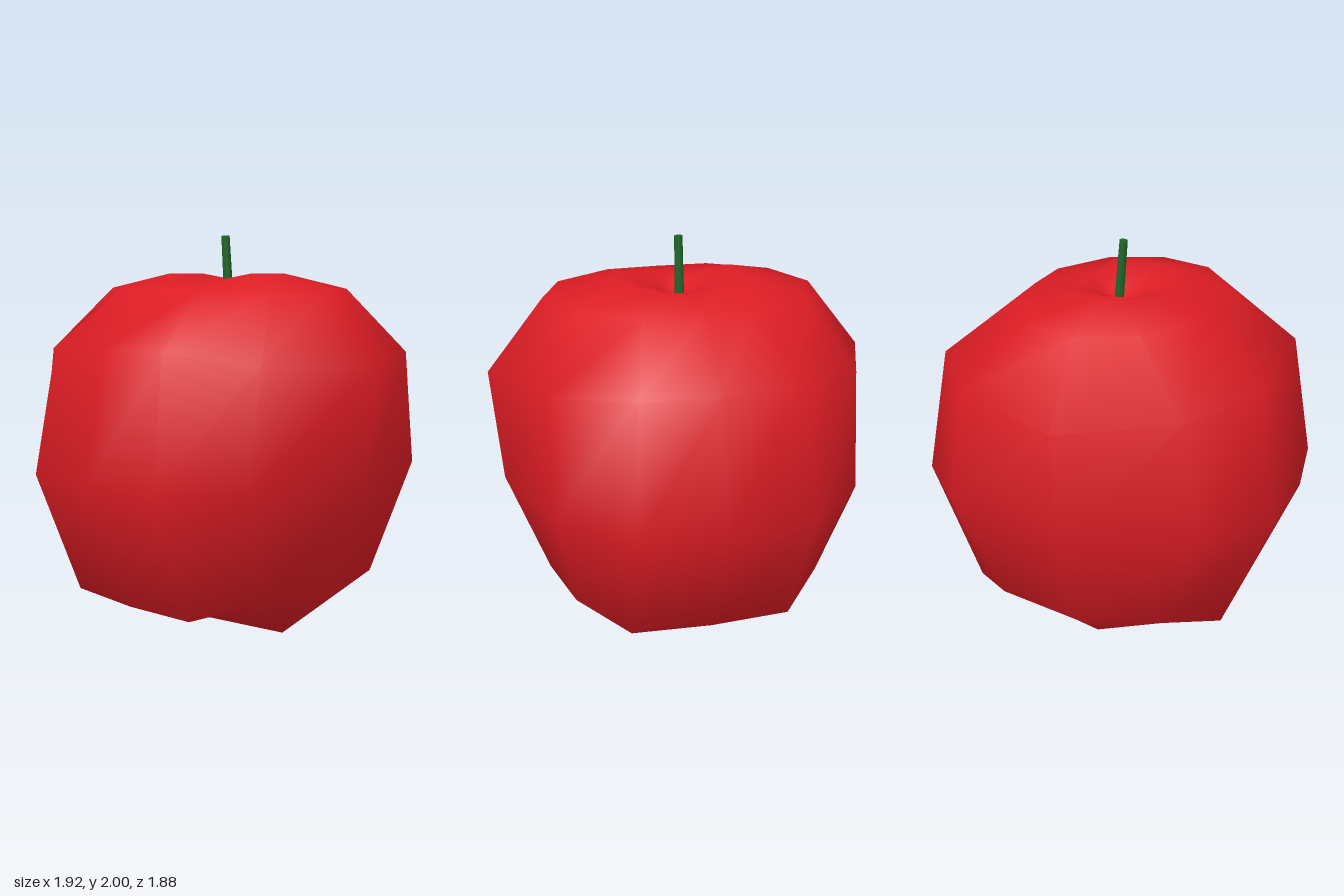
import * as THREE from 'three';

// One quarter of each ring (from +x round to +z), bottom to top
const RINGS = [
  [[0.40, 0, 0], [0.33, 0.08, 0.22], [0.18, 0.12, 0.35], [0, 0.13, 0.37]],
  [[0.70, 0.26, 0], [0.63, 0.29, 0.42], [0.40, 0.21, 0.66], [0, 0.20, 0.67]],
  [[0.91, 0.81, 0], [0.74, 0.85, 0.62], [0.43, 0.83, 0.90], [0, 0.83, 0.94]],
  [[0.96, 1.38, 0], [0.74, 1.42, 0.54], [0.38, 1.46, 0.80], [0, 1.46, 0.81]],
  [[0.68, 1.73, 0], [0.56, 1.735, 0.28], [0.27, 1.735, 0.46], [0, 1.735, 0.47]],
  [[0.31, 1.81, 0], [0.29, 1.81, 0.12], [0.13, 1.775, 0.21], [0, 1.765, 0.23]],
  [[0.10, 1.74, 0], [0.075, 1.74, 0.055], [0.05, 1.74, 0.11], [0, 1.74, 0.11]],
];
const SIDES = 12;

// Mirror a quarter ring into a closed ring of twelve points
function fullRing(quarter) {
  return Array.from({ length: SIDES }, (_, j) => {
    const k = j % 6;
    const [x, y, z] = quarter[k <= 3 ? k : 6 - k];
    return [j > 3 && j < 9 ? -x : x, y, j > 6 ? -z : z];
  });
}

// Skin the rings and close them with a pole at each end
function skin(rings, bottom, top) {
  const points = [...rings.map(fullRing).flat(), bottom, top];
  const low = rings.length * SIDES, high = low + 1, last = low - SIDES;
  const index = [];
  for (let j = 0; j < SIDES; j++) {
    const n = (j + 1) % SIDES;
    index.push(low, j, n);
    for (let r = 0; r < last; r += SIDES) {
      const a = r + j, b = r + n, c = a + SIDES, d = b + SIDES;
      index.push(a, c, b, b, c, d);
    }
    index.push(last + j, high, last + n);
  }
  const geometry = new THREE.BufferGeometry();
  geometry.setAttribute('position', new THREE.Float32BufferAttribute(points.flat(), 3));
  geometry.setIndex(index);
  geometry.computeVertexNormals();
  return geometry;
}

export function createModel() {
  const model = new THREE.Group();
  model.name = 'apple';

  // Body with a hollow at the bottom and a pit at the top
  const body = new THREE.Mesh(
    skin(RINGS, [0, 0.05, 0], [0, 1.6, 0]),
    new THREE.MeshStandardMaterial({ color: 0xdc1c24 }),
  );
  body.name = 'body';
  model.add(body);

  // Slightly leaning stem rising from the pit
  const base = new THREE.Vector3(0, 1.58, -0.03);
  const tip = new THREE.Vector3(0, 2, 0.003);
  const axis = tip.clone().sub(base);
  const stem = new THREE.Mesh(
    new THREE.CylinderGeometry(0.021, 0.025, axis.length(), 8),
    new THREE.MeshStandardMaterial({ color: 0x1f6628 }),
  );
  stem.name = 'stem';
  stem.position.copy(base).lerp(tip, 0.5);
  stem.quaternion.setFromUnitVectors(new THREE.Vector3(0, 1, 0), axis.normalize());
  model.add(stem);

  return model;
}
